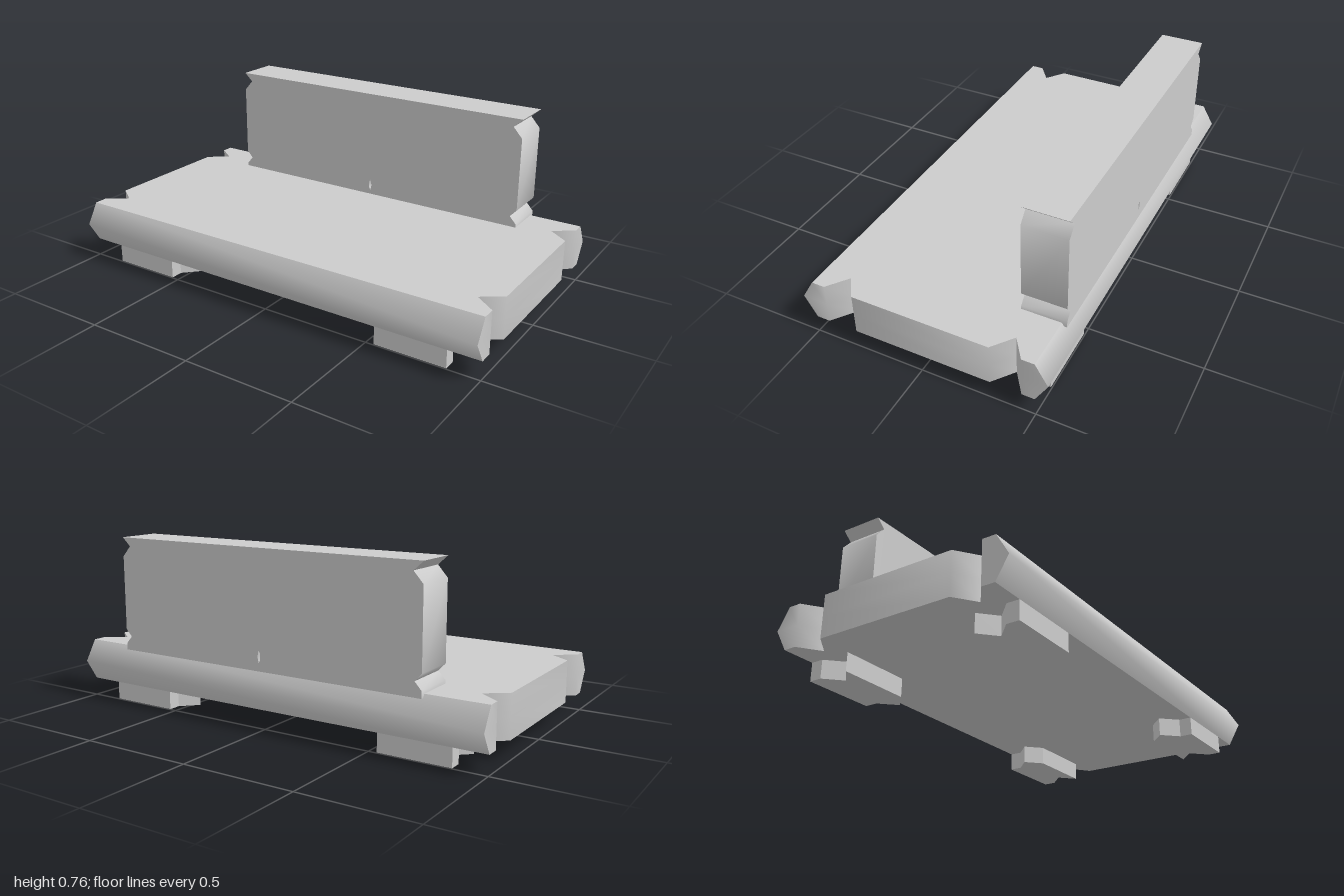
import * as THREE from 'three';
import { mergeGeometries, toCreasedNormals } from 'three/addons/utils/BufferGeometryUtils.js';

const material = new THREE.MeshStandardMaterial({ color: 0xcccccc });
const toShape = (pts) => new THREE.Shape(pts.map(([x, y]) => new THREE.Vector2(x, y)));

// Flat caps, softly shaded walls: the two are shaded apart and joined again
function shadeWalls(geo, angle) {
  const pos = geo.attributes.position.array;
  const parts = geo.groups.map(({ start, count }, i) => {
    const part = new THREE.BufferGeometry();
    part.setAttribute('position', new THREE.BufferAttribute(pos.slice(start * 3, (start + count) * 3), 3));
    part.computeVertexNormals();
    return i === 1 ? toCreasedNormals(part, angle) : part;
  });
  return mergeGeometries(parts);
}

function addMesh(parent, name, geo) {
  const mesh = new THREE.Mesh(geo, material);
  mesh.name = name;
  parent.add(mesh);
  return mesh;
}

// Seat slab: notched plan whose long edges come to a ridge at mid height
function seatGeometry() {
  const height = 0.185, ridge = 0.55, edge = 0.495;
  const side = [[1, -ridge], [1, -0.44], [0.91, -0.375], [1, -0.305],
    [1, 0.305], [0.91, 0.37], [1, 0.437], [1, ridge]];
  const plan = [...side, ...side.map(([x, z]) => [-x, z]).reverse()];
  const geo = new THREE.ExtrudeGeometry(toShape(plan), { depth: height, steps: 2, bevelEnabled: false });
  const p = geo.attributes.position;
  for (let i = 0; i < p.count; i++) {
    const atRidge = Math.abs(p.getZ(i) - height / 2) < 0.01;
    if (Math.abs(p.getY(i)) > 0.54 && !atRidge) p.setY(i, Math.sign(p.getY(i)) * edge);
  }
  geo.rotateX(Math.PI / 2).translate(0, 0.08 + height, 0);
  return shadeWalls(geo, 1.2);
}

// Backrest: upright panel with notched ends and a small slit
function backrestGeometry() {
  const cx = 0.015, w = 0.75;
  const end = [[w, 0.25], [w, 0.28], [w - 0.03, 0.313], [w, 0.345],
    [w, 0.675], [w - 0.042, 0.722], [w, 0.76]];
  const shape = toShape([...end, ...end.map(([x, y]) => [-x, y]).reverse()]);
  const slit = [[0, 0.285], [0.006, 0.31], [0, 0.34], [-0.008, 0.325], [-0.008, 0.3]];
  shape.holes.push(new THREE.Path(slit.map(([x, y]) => new THREE.Vector2(x, y))));
  const geo = new THREE.ExtrudeGeometry(shape, { depth: 0.195, bevelEnabled: false });
  geo.translate(cx, 0, -0.517);
  return shadeWalls(geo, 1.2);
}

// Foot: pointed at the inner end, notched at the outer end
function footGeometry(sx, sz) {
  const plan = [[0.855, 0.495], [0.855, 0.44], [0.785, 0.37], [0.855, 0.305],
    [0.535, 0.305], [0.467, 0.37], [0.535, 0.44], [0.535, 0.495]];
  const shape = toShape(plan.map(([x, z]) => [x * sx, z * sz]));
  const geo = new THREE.ExtrudeGeometry(shape, { depth: 0.08, bevelEnabled: false });
  geo.rotateX(Math.PI / 2).translate(0, 0.08, 0);
  return shadeWalls(geo, 0.1);
}

export function createModel() {
  const bench = new THREE.Group();
  bench.name = 'bench';
  addMesh(bench, 'seat', seatGeometry());
  addMesh(bench, 'backrest', backrestGeometry());
  for (const [sz, zName] of [[1, 'front'], [-1, 'back']])
    for (const [sx, xName] of [[1, 'Left'], [-1, 'Right']])
      addMesh(bench, `${zName}${xName}Foot`, footGeometry(sx, sz));
  return bench;
}
